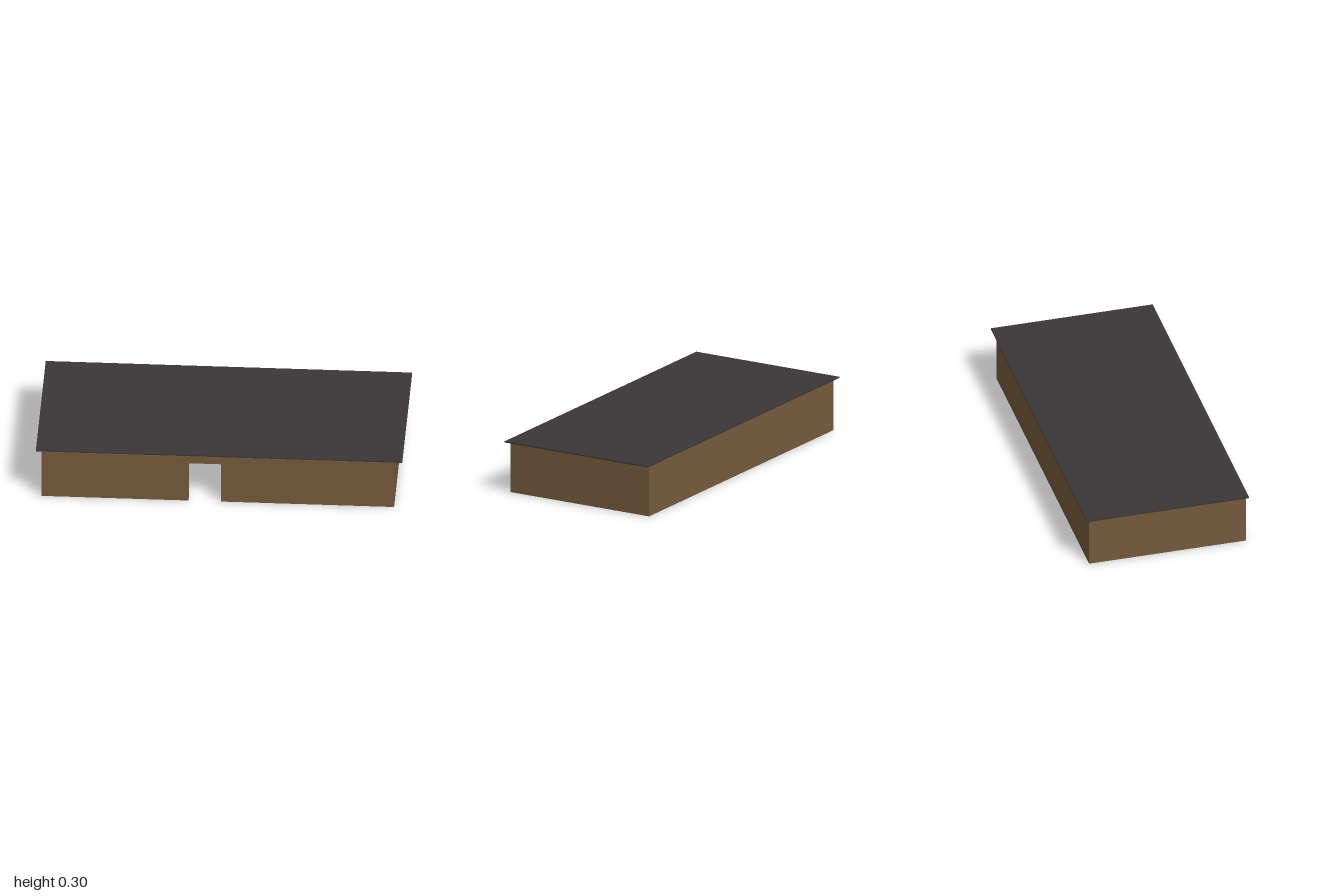
import * as THREE from 'three';

export function createModel() {
  const model = new THREE.Group();
  const wallBrown = new THREE.MeshStandardMaterial({ color: 0x755a3c });
  wallBrown.name = 'wall brown';
  const roofGrey = new THREE.MeshStandardMaterial({ color: 0x3b3536 });
  roofGrey.name = 'roof charcoal';

  const left = -0.97, right = 0.955, back = -0.438, front = 0.447;
  const height = 0.283, thick = 0.048;

  // Extrudes an outline in the xy plane forward from z
  function extrude(name, shape, depth, z) {
    const geometry = new THREE.ExtrudeGeometry(shape, { depth, bevelEnabled: false });
    const mesh = new THREE.Mesh(geometry, wallBrown);
    mesh.name = name;
    mesh.position.z = z;
    model.add(mesh);
  }
  const outline = (points) => new THREE.Shape(points.map(([x, y]) => new THREE.Vector2(x, y)));

  // Front wall with an open doorway reaching the ground
  const doorX0 = -0.167, doorX1 = 0.011, doorTop = 0.24;
  extrude('frontWall', outline([
    [left, 0], [doorX0, 0], [doorX0, doorTop], [doorX1, doorTop], [doorX1, 0],
    [right, 0], [right, height], [left, height],
  ]), thick, front - thick);

  // Plain back and side walls
  extrude('backWall', outline([[left, 0], [right, 0], [right, height], [left, height]]), thick, back);
  for (const [name, x] of [['rightWall', left], ['leftWall', right - thick]]) {
    extrude(name, outline([[x, 0], [x + thick, 0], [x + thick, height], [x, height]]),
      front - back - 2 * thick, back + thick);
  }

  // Thin overhanging roof slab, floating just above the walls
  const roof = new THREE.Mesh(new THREE.BoxGeometry(2, 0.007, 0.914), roofGrey);
  roof.name = 'roof';
  roof.position.y = 0.2955;
  model.add(roof);

  return model;
}
